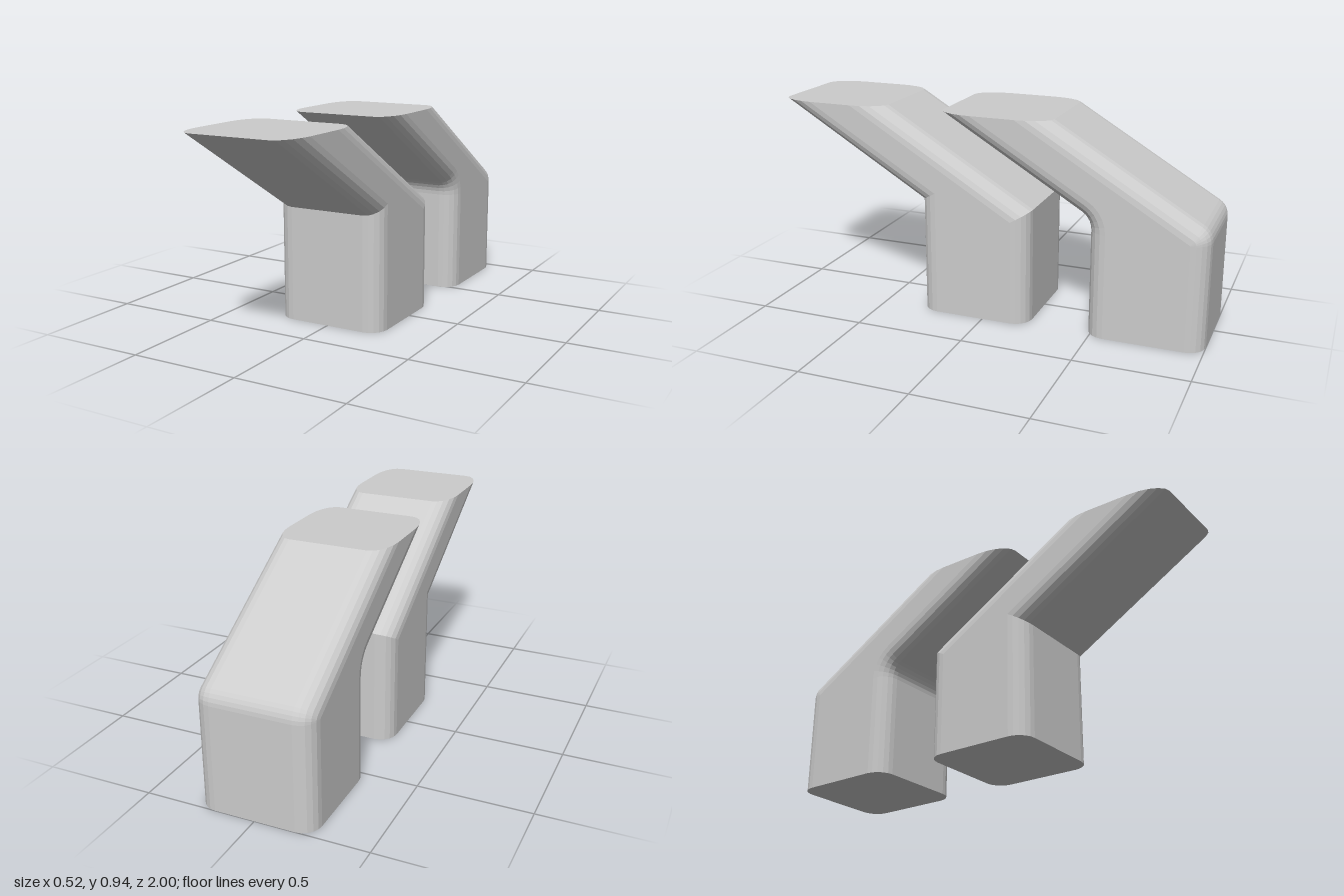
import * as THREE from 'three';

const HALF_W = 0.26, EDGE = 0.08, EDGE_SEG = 5;
const BEND_Y = 0.524, TOP_Y = 0.937;
const SLOPE = Math.atan2(TOP_Y - BEND_Y, 0.695);
const TURN = Math.PI / 2 - SLOPE;

// Side outline of one wall: upright, bend (sharp or rounded), slanted arm.
// e shifts the whole line inward for the rounded long edges.
function wallLine(z0, e, bendR) {
  const line = [[z0 + e, 0]];
  if (bendR === 0) {
    line.push([z0 + e, BEND_Y - e * Math.tan(TURN / 2)]);
  } else {
    const cy = BEND_Y - bendR * Math.tan(TURN / 2);
    for (let i = 0; i <= 5; i++) {
      const a = (TURN * i) / 5;
      line.push([z0 + bendR - (bendR - e) * Math.cos(a), cy + (bendR - e) * Math.sin(a)]);
    }
  }
  const [z, y] = line[line.length - 1];
  line.push([z + (TOP_Y - y) / Math.tan(SLOPE), TOP_Y]);
  return line;
}

// Closed cross-sections stacked along the bent post
function bentPost(zFront, zBack, bendR) {
  const levels = [];
  for (let k = EDGE_SEG; k >= 0; k--) {
    const a = (Math.PI / 2) * (k / EDGE_SEG);
    levels.push({ x: -(HALF_W - EDGE + EDGE * Math.sin(a)), inset: EDGE * (1 - Math.cos(a)) });
  }
  const row = [...levels, ...levels.map(l => ({ x: -l.x, inset: l.inset })).reverse()];
  const columns = [
    ...row.map(l => ({ x: l.x, line: wallLine(zFront, -l.inset, bendR) })),
    ...row.slice().reverse().map(l => ({ x: l.x, line: wallLine(zBack, l.inset, bendR) })),
  ];
  const n = columns.length, stations = columns[0].line.length;
  const pos = [], index = [];
  for (let s = 0; s < stations; s++) {
    for (const c of columns) pos.push(c.x, c.line[s][1], c.line[s][0]);
  }
  for (let s = 0; s < stations - 1; s++) {
    for (let j = 0; j < n; j++) {
      const a = s * n + j, b = s * n + ((j + 1) % n);
      index.push(a, b, b + n, a, b + n, a + n);
    }
  }
  // flat foot and flat top
  const t = (stations - 1) * n;
  for (let j = 1; j < n - 1; j++) {
    index.push(0, j + 1, j);
    index.push(t, t + j, t + j + 1);
  }
  const indexed = new THREE.BufferGeometry();
  indexed.setAttribute('position', new THREE.Float32BufferAttribute(pos, 3));
  indexed.setIndex(index);
  const geometry = indexed.toNonIndexed();
  geometry.computeVertexNormals();
  return geometry;
}

export function createModel() {
  const group = new THREE.Group();
  group.name = 'bentPosts';
  const grey = new THREE.MeshStandardMaterial({ color: 0xcccccc });
  grey.name = 'light grey';

  // front post has a sharp bend, rear post a rounded one
  const front = new THREE.Mesh(bentPost(0.305, -0.213, 0), grey);
  front.name = 'frontPost';
  const rear = new THREE.Mesh(bentPost(-0.482, -1.0, 0.085), grey);
  rear.name = 'rearPost';
  group.add(front, rear);
  return group;
}
